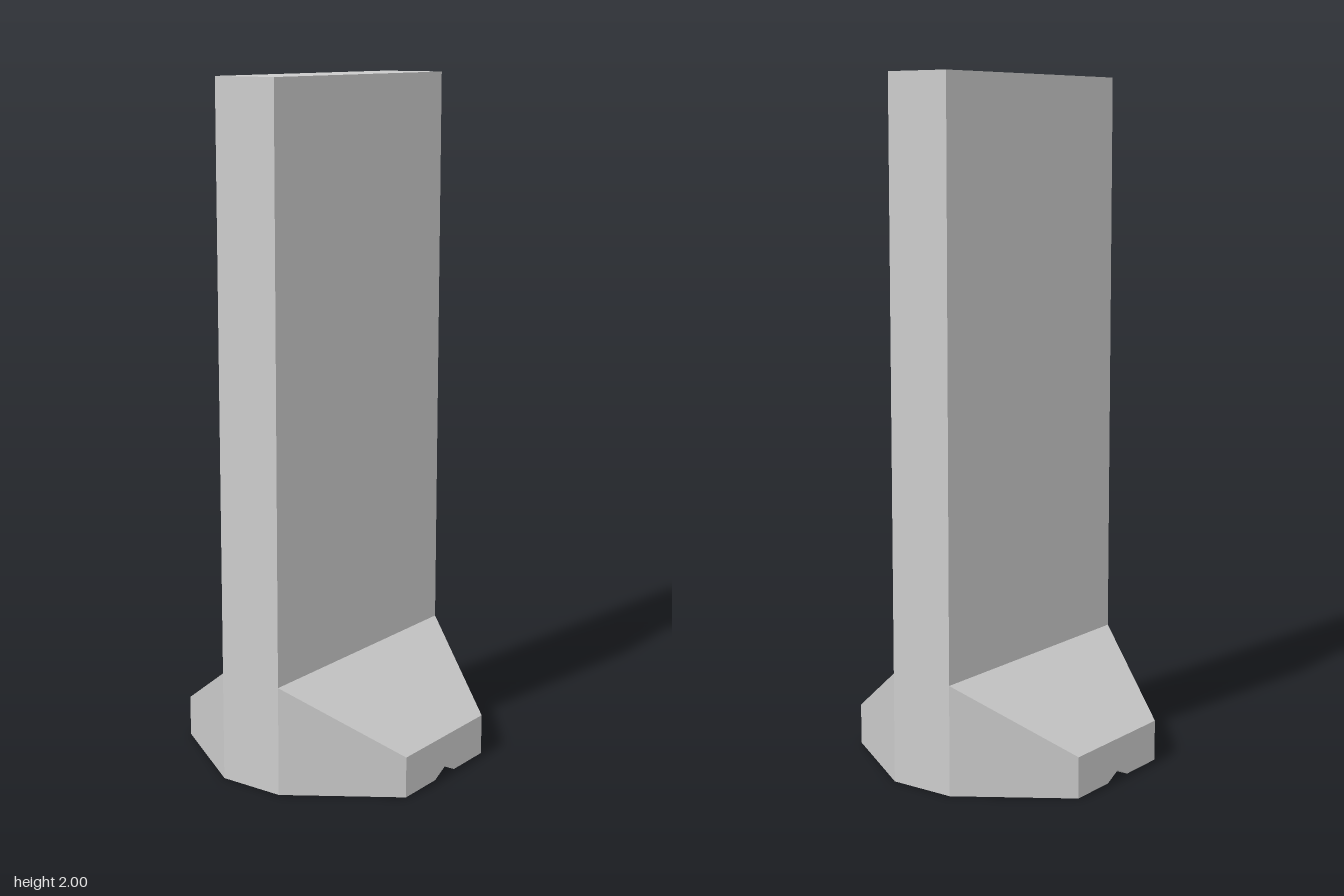
import * as THREE from 'three';

const material = new THREE.MeshStandardMaterial({ color: 0xcccccc, flatShading: true });

// Cross-section in (z, y): a rectangle with a V groove along its underside
function section(halfDepth, height) {
  return [
    [-halfDepth, 0], [-halfDepth, height], [halfDepth, height], [halfDepth, 0],
    [0.05, 0], [0, 0.025], [-0.05, 0],
  ];
}

// Tapering foot lofted from the blade side out to its blunt, capped end
function footGeometry() {
  const inner = section(0.4, 0.32).map(([z, y]) => [0.1, y, z]);
  const outer = section(0.2, 0.12).map(([z, y]) => [0.4, y, z]);
  const positions = [];
  const n = inner.length;
  for (let i = 0; i < n; i++) {
    const j = (i + 1) % n;
    positions.push(...outer[i], ...inner[i], ...inner[j]);
    positions.push(...outer[i], ...inner[j], ...outer[j]);
    // End cap fans out from the groove apex (index 5)
    if (i !== 5 && j !== 5) positions.push(...outer[5], ...outer[i], ...outer[j]);
  }
  const geometry = new THREE.BufferGeometry();
  geometry.setAttribute('position', new THREE.Float32BufferAttribute(positions, 3));
  geometry.computeVertexNormals();
  return geometry;
}

export function createModel() {
  const model = new THREE.Group();

  // Upright blade, grooved underneath
  const profile = new THREE.Shape(section(0.4, 2).map(([z, y]) => new THREE.Vector2(z, y)));
  const bladeGeometry = new THREE.ExtrudeGeometry(profile, { depth: 0.2, bevelEnabled: false });
  bladeGeometry.translate(0, 0, -0.1).rotateY(Math.PI / 2);
  const blade = new THREE.Mesh(bladeGeometry, material);
  blade.name = 'blade';
  model.add(blade);

  // Feet, one on each side of the blade
  const geometry = footGeometry();
  for (const [name, turn] of [['leftFoot', 0], ['rightFoot', Math.PI]]) {
    const foot = new THREE.Mesh(geometry, material);
    foot.name = name;
    foot.rotation.y = turn;
    model.add(foot);
  }
  return model;
}
